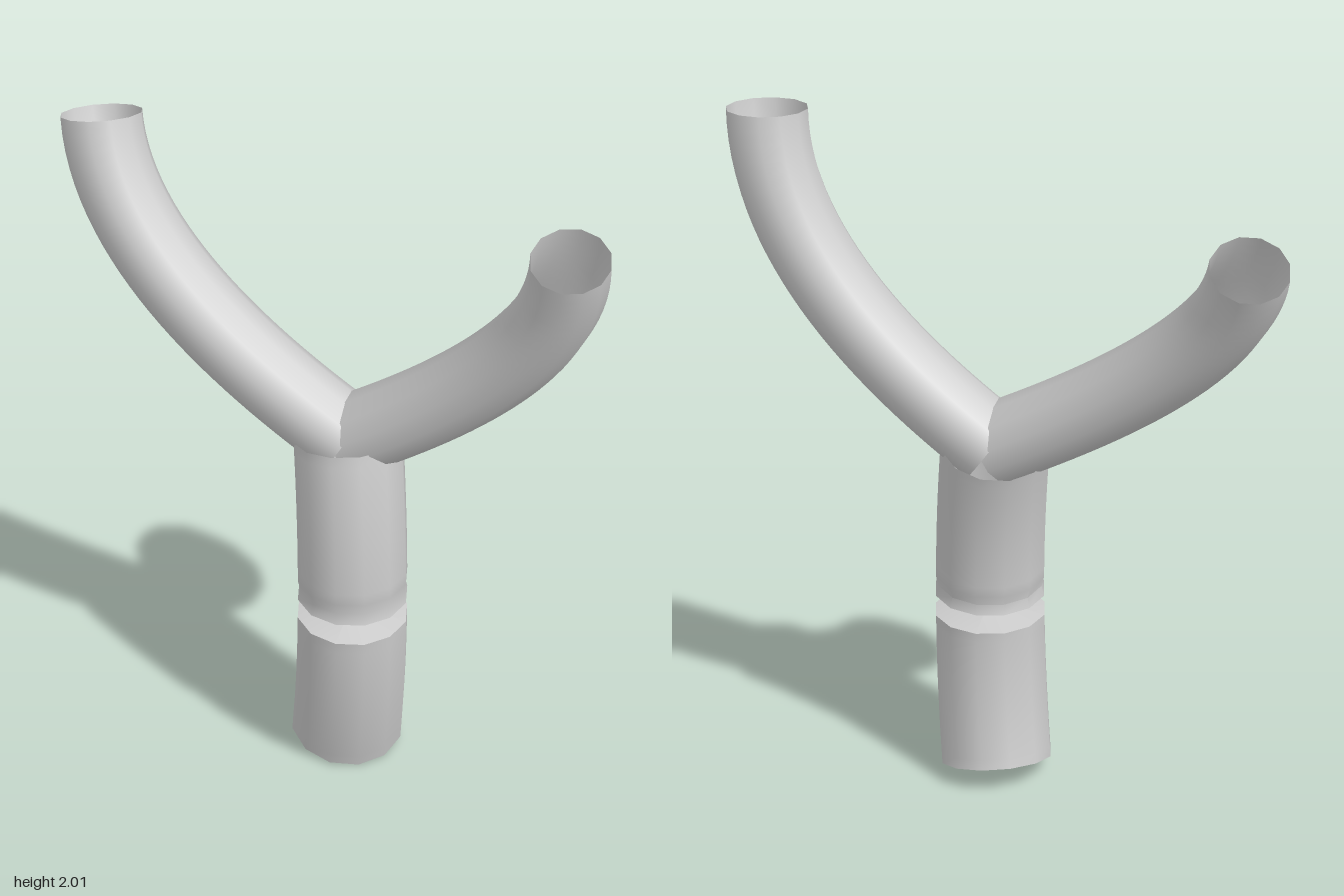
import * as THREE from 'three';
import { toCreasedNormals } from 'three/addons/utils/BufferGeometryUtils.js';

const material = new THREE.MeshStandardMaterial({ color: 0xcccccc, side: THREE.DoubleSide });
const SIDES = 12;

// Bent open pipe through start, control and end points
function bend(a, b, c) {
  return new THREE.QuadraticBezierCurve3(
    new THREE.Vector3(...a), new THREE.Vector3(...b), new THREE.Vector3(...c));
}

// Scale chosen rings of a tube about its centre line
function scaleRings(geometry, curve, segments, scales) {
  const pos = geometry.attributes.position;
  const v = new THREE.Vector3();
  for (const [ring, k] of scales) {
    const centre = curve.getPointAt(ring / segments);
    for (let j = 0; j <= SIDES; j++) {
      const i = ring * (SIDES + 1) + j;
      v.fromBufferAttribute(pos, i).sub(centre).multiplyScalar(k).add(centre);
      pos.setXYZ(i, v.x, v.y, v.z);
    }
  }
  return geometry;
}

export function createModel() {
  const group = new THREE.Group();
  const add = (name, geometry) => {
    const mesh = new THREE.Mesh(geometry, material);
    mesh.name = name;
    group.add(mesh);
  };

  // Trunk: slightly bowed pipe, pinched to a point near its middle
  const trunk = bend([0.045, 0.034, -0.005], [0.163, 0.53, 0.065], [0.05, 1.06, -0.005]);
  const trunkTube = new THREE.TubeGeometry(trunk, 32, 0.16, SIDES);
  scaleRings(trunkTube, trunk, 32, [[15, 0.04], [17, 0.95]]);
  add('trunk', toCreasedNormals(trunkTube, 0.7));

  // Two branches sweeping out and curling upward
  const branches = {
    leftBranch: bend([0.05, 1.06, -0.015], [0.66, 1.51, -0.3], [0.757, 1.97, -0.215]),
    rightBranch: bend([0.05, 1.06, -0.005], [-0.61, 1.47, 0.3], [-0.77, 1.87, 0.195]),
  };
  for (const [name, curve] of Object.entries(branches)) {
    add(name, new THREE.TubeGeometry(curve, 28, 0.12, SIDES));
  }
  return group;
}
